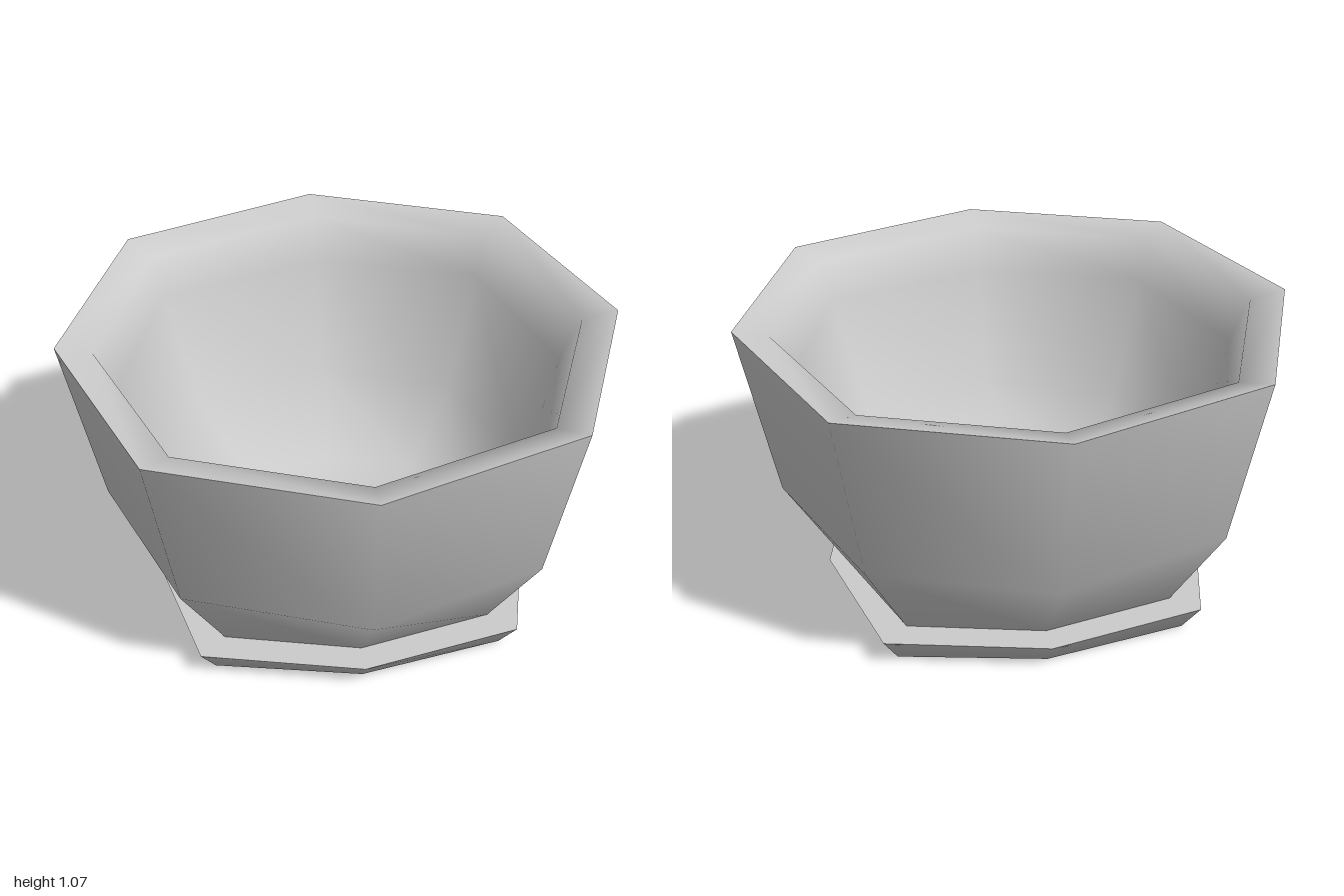
import * as THREE from 'three';
import { mergeGeometries } from 'three/addons/utils/BufferGeometryUtils.js';

const material = new THREE.MeshStandardMaterial({ color: 0xcccccc });

// One smooth eight-sided band. Each ring is [radius on the axes, radius on the diagonals, height].
function band(rings) {
  const geometry = new THREE.LatheGeometry(rings.map(([r, , y]) => new THREE.Vector2(r, y)), 8);
  const pos = geometry.attributes.position;
  for (let i = 0; i < pos.count; i++) {
    const side = Math.floor(i / rings.length);
    const [axis, diagonal] = rings[i % rings.length];
    const r = side % 2 ? diagonal : axis;
    const a = (side * Math.PI) / 4;
    pos.setX(i, Math.sin(a) * r);
    pos.setZ(i, Math.cos(a) * r);
  }
  return geometry;
}

// Bands meet in sharp edges; rings inside a band are smooth.
function part(name, bands) {
  const mesh = new THREE.Mesh(mergeGeometries(bands.map(band)), material);
  mesh.name = name;
  return mesh;
}

export function createModel() {
  const group = new THREE.Group();
  group.name = 'planter';

  // Pot: outer wall, then sloped rim running smoothly down a bevel into the round hollow
  group.add(part('pot', [
    [[0.6, 0.68, 0.1], [0.865, 0.89, 0.43], [1, 1.028, 1.07]],
    [[1, 1.028, 1.07], [0.87, 0.895, 1.04], [0.8, 0.86, 0.88], [0.67, 0.7, 0.45], [0.42, 0.45, 0.19], [0, 0, 0.17]],
  ]));

  // Saucer: underside rounding into the flared side, then a flat top
  group.add(part('saucer', [
    [[0, 0, 0], [0.63, 0.735, 0], [0.71, 0.81, 0.1]],
    [[0.71, 0.81, 0.1], [0, 0, 0.1]],
  ]));

  return group;
}
